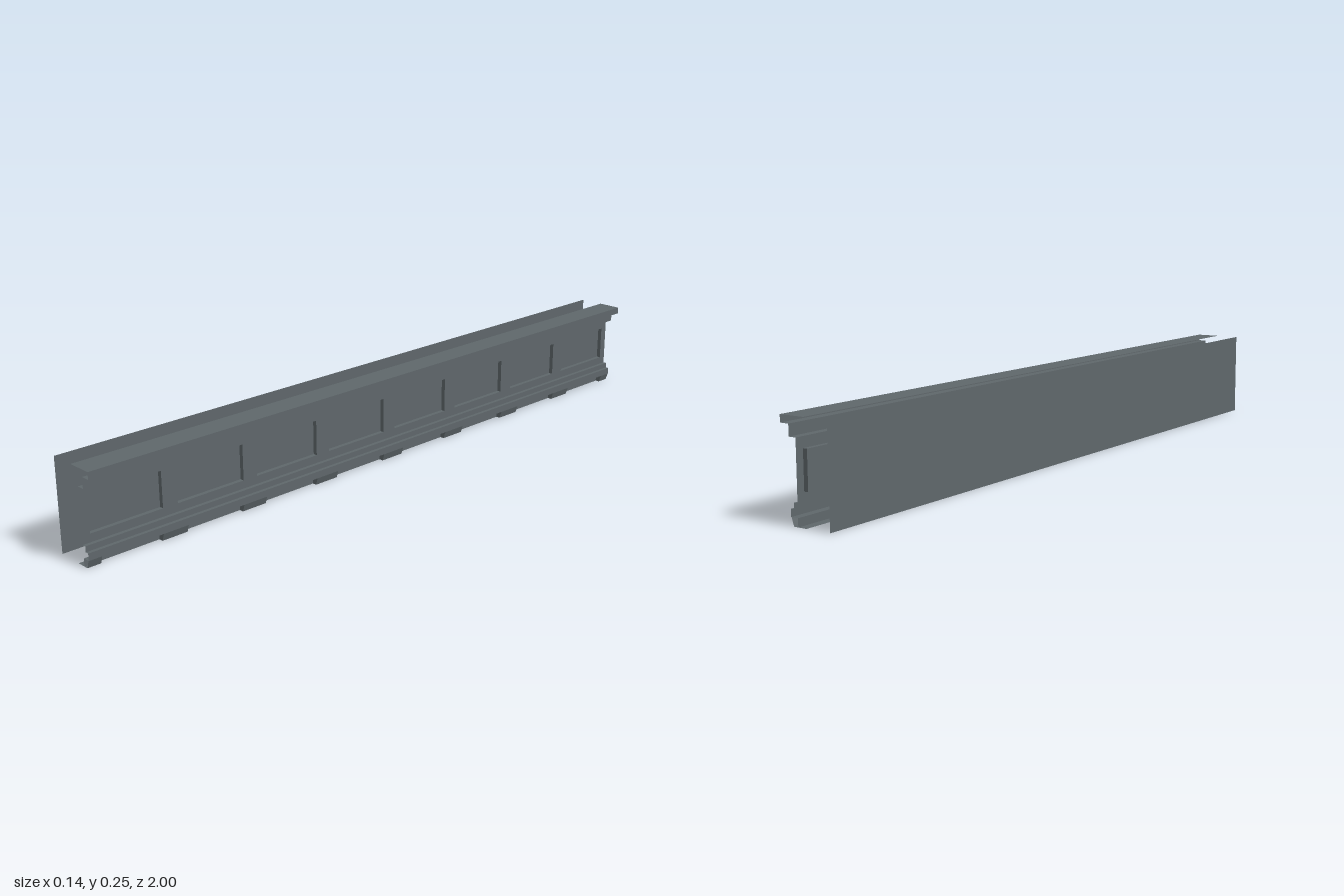
import * as THREE from 'three';

const HALF = 1;        // half length along z
const PITCH = 0.25;    // spacing of panels and brackets
const FACE = 0.0245;   // x of the frieze face
const SUNK = 0.0125;   // x of the sunken panel backs
const P = { y0: 0.077, y1: 0.175, half: 0.103 };
const BRACKET = 0.0375; // half width of a bracket

// Geometry from a list of four-cornered faces
function quads(list) {
  const pos = [];
  for (const [a, b, c, d] of list) pos.push(...a, ...b, ...c, ...a, ...c, ...d);
  const g = new THREE.BufferGeometry();
  g.setAttribute('position', new THREE.Float32BufferAttribute(pos, 3));
  g.computeVertexNormals();
  return g;
}

// Sheet swept along z from an [x, y] profile listed top to bottom (faces +x)
function sweep(profile, z0, z1) {
  const list = [];
  for (let i = 0; i < profile.length - 1; i++) {
    const [ax, ay] = profile[i], [bx, by] = profile[i + 1];
    list.push([[ax, ay, z0], [ax, ay, z1], [bx, by, z1], [bx, by, z0]]);
  }
  return list;
}

export function createModel() {
  const group = new THREE.Group();
  const slate = new THREE.MeshStandardMaterial({ color: 0x5f676b, side: THREE.DoubleSide });
  slate.name = 'slate grey';
  const add = (name, geometry) => {
    const m = new THREE.Mesh(geometry, slate);
    m.name = name;
    group.add(m);
  };

  // Flat sheet behind the moulding
  add('backPlate', quads(sweep([[-0.07, 0.25], [-0.07, 0]], -HALF, HALF)));

  // Stepped crown and its top shelf
  add('crownMoulding', quads(sweep([
    [0, 0.25], [0.07, 0.25], [0.07, 0.231], [0.045, 0.231], [0.045, 0.202], [FACE, 0.202],
  ], -HALF, HALF)));

  // Stepped ledge under the frieze
  add('lowerLedge', quads(sweep([
    [FACE, 0.055], [0.035, 0.055], [0.035, 0.04], [0.045, 0.04], [0.045, 0.021], [FACE, 0.021],
  ], -HALF, HALF)));

  // Recessed base strip and its underside
  add('baseStrip', quads(sweep([[FACE, 0.021], [FACE, 0], [0, 0]], -HALF, HALF)));

  // Frieze sheet with openings (shape x runs along -z)
  const frieze = new THREE.Shape([
    [-HALF, 0.055], [HALF, 0.055], [HALF, 0.202], [-HALF, 0.202],
  ].map(([x, y]) => new THREE.Vector2(x, y)));
  const recess = [];
  for (let i = 0; i < 8; i++) {
    const c = (i - 3.5) * PITCH, a = c - P.half, b = c + P.half;
    frieze.holes.push(new THREE.Path([
      [a, P.y0], [a, P.y1], [b, P.y1], [b, P.y0],
    ].map(([x, y]) => new THREE.Vector2(x, y))));
    // Top, back and bottom of the recess, then its two ends
    recess.push(...sweep([[FACE, P.y1], [SUNK, P.y1], [SUNK, P.y0], [FACE, P.y0]], a, b));
    recess.push([[SUNK, P.y0, a], [FACE, P.y0, a], [FACE, P.y1, a], [SUNK, P.y1, a]]);
    recess.push([[FACE, P.y0, b], [SUNK, P.y0, b], [SUNK, P.y1, b], [FACE, P.y1, b]]);
  }
  add('frieze', new THREE.ShapeGeometry(frieze).rotateY(Math.PI / 2).translate(FACE, 0, 0));
  add('sunkenPanels', quads(recess));

  // Tapered brackets, halved and left open at both ends of the run
  const brackets = [];
  for (let i = -4; i <= 4; i++) {
    const a = Math.max(-HALF, i * PITCH - BRACKET), b = Math.min(HALF, i * PITCH + BRACKET);
    brackets.push(...sweep([[0.044, 0.021], [0.037, 0], [FACE, 0]], a, b));
    const end = (z) => [[FACE, 0, z], [0.037, 0, z], [0.044, 0.021, z], [FACE, 0.021, z]];
    if (b < HALF) brackets.push(end(b));
    if (a > -HALF) brackets.push(end(a).reverse());
  }
  add('brackets', quads(brackets));

  return group;
}
